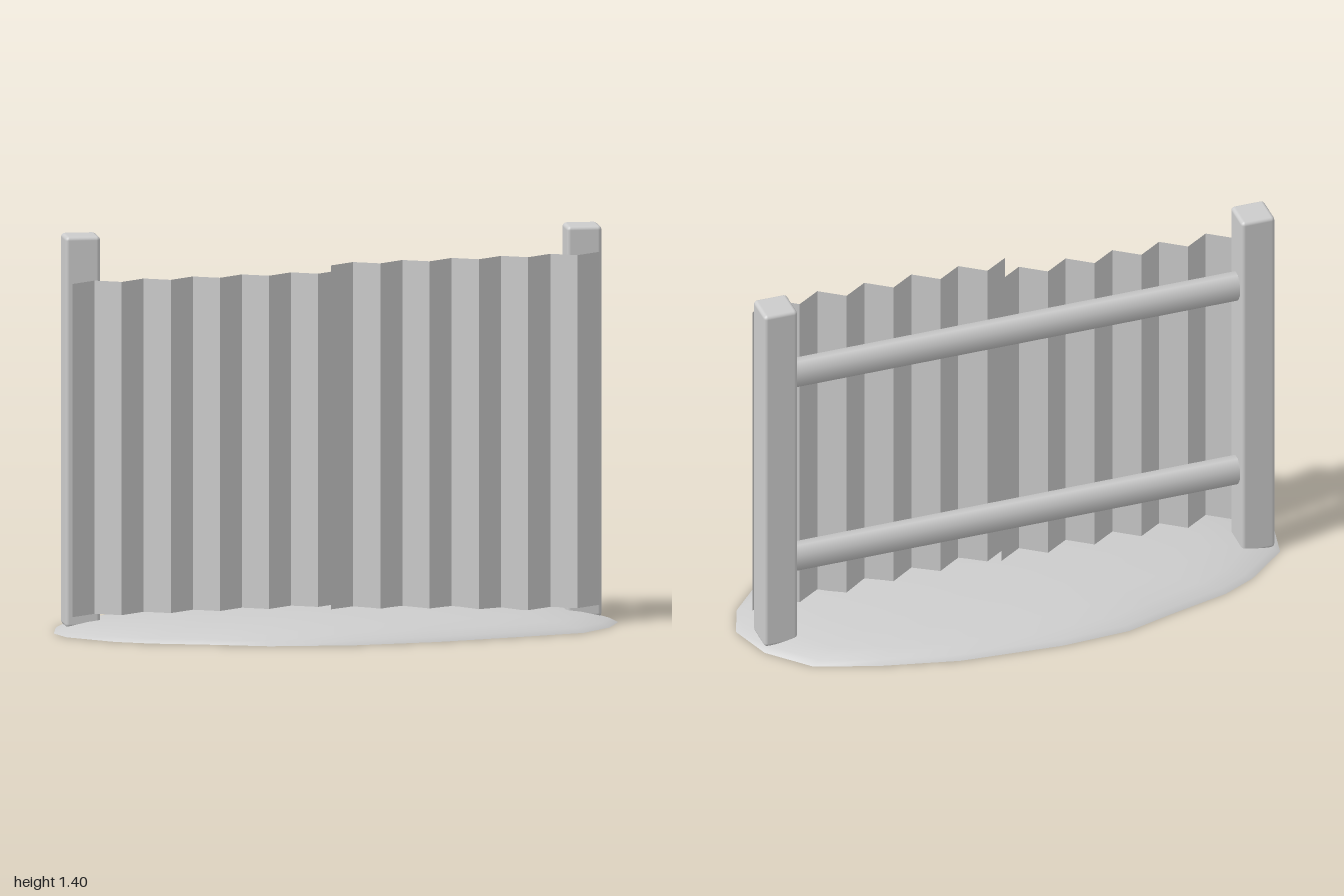
import * as THREE from 'three';
import { RoundedBoxGeometry } from 'three/addons/geometries/RoundedBoxGeometry.js';

const grey = new THREE.MeshStandardMaterial({ color: 0xcccccc, side: THREE.DoubleSide });
grey.name = 'plain grey';

function mesh(name, geometry) {
  const m = new THREE.Mesh(geometry, grey);
  m.name = name;
  return m;
}

function buffer(positions, indices) {
  const g = new THREE.BufferGeometry();
  g.setAttribute('position', new THREE.Float32BufferAttribute(positions, 3));
  g.setIndex(indices);
  return g;
}

// Zigzag sheet: folds swing between a front and a back plane, the top and bottom rise towards +x
function corrugatedSheet(x0, x1, zBack, yBottom, height) {
  const folds = 11, rise = 0.02, depth = 0.06, pos = [], idx = [];
  for (let i = 0; i <= folds; i++) {
    const t = i / folds;
    const x = x0 + (x1 - x0) * t;
    const z = zBack + (i % 2 ? 0 : depth);
    const y = yBottom + rise * t;
    pos.push(x, y, z, x, y + height, z);
    if (i < folds) {
      const a = i * 2;
      idx.push(a, a + 2, a + 3, a, a + 3, a + 1);
    }
  }
  const g = buffer(pos, idx).toNonIndexed(); // crisp folds
  g.computeVertexNormals();
  return g;
}

// Irregular oval outline of the earth, as x, z pairs
const OUTLINE = [
  [-1, 0], [-0.97, 0.1], [-0.82, 0.24], [-0.7, 0.3], [-0.5, 0.36], [-0.3, 0.43], [0, 0.45], [0.3, 0.41],
  [0.6, 0.33], [0.84, 0.26], [0.95, 0.14], [1, 0.01], [0.95, -0.15], [0.82, -0.29], [0.6, -0.365],
  [0.32, -0.43], [-0.05, -0.46], [-0.3, -0.45], [-0.47, -0.4], [-0.7, -0.34], [-0.82, -0.28], [-0.97, -0.15],
];

// Low dome made of shrinking copies of the outline
function moundTop() {
  const rings = [[1, 0], [0.97, 0.016], [0.88, 0.036], [0.72, 0.056], [0.45, 0.071], [0.2, 0.077]];
  const n = OUTLINE.length, pos = [], idx = [];
  for (const [s, y] of rings) for (const [x, z] of OUTLINE) pos.push(x * s, y, z * s);
  const centre = pos.length / 3;
  pos.push(0, 0.078, 0);
  for (let r = 0; r < rings.length; r++) {
    for (let i = 0; i < n; i++) {
      const a = r * n + i, b = r * n + (i + 1) % n;
      if (r === rings.length - 1) idx.push(a, b, centre);
      else idx.push(a, b, b + n, a, b + n, a + n);
    }
  }
  const g = buffer(pos, idx);
  g.computeVertexNormals();
  return g;
}

function moundBase() {
  const n = OUTLINE.length, pos = [0, 0, 0], idx = [];
  OUTLINE.forEach(([x, z], i) => {
    pos.push(x, 0, z);
    idx.push(0, (i + 1) % n + 1, i + 1);
  });
  const g = buffer(pos, idx);
  g.computeVertexNormals();
  return g;
}

export function createModel() {
  const model = new THREE.Group();
  model.name = 'corrugatedFence';

  // Earth under the fence
  const mound = new THREE.Group();
  mound.name = 'mound';
  mound.add(mesh('moundTop', moundTop()), mesh('moundBase', moundBase()));
  model.add(mound);

  // Square posts with softened edges
  for (const [name, x] of [['rightPost', -0.893], ['leftPost', 0.885]]) {
    const post = mesh(name, new RoundedBoxGeometry(0.124, 1.385, 0.124, 2, 0.014));
    post.position.set(x, 0.7075, -0.081);
    model.add(post);
  }

  // Eight-sided rails, taller than deep, running into both posts
  for (const [name, y] of [['lowerRail', 0.335], ['upperRail', 1.105]]) {
    const g = new THREE.CylinderGeometry(1, 1, 1.8, 8, 1, false, Math.PI / 8);
    g.scale(0.057, 1, 0.038);
    g.rotateZ(Math.PI / 2);
    const rail = mesh(name, g);
    rail.position.set(0, y, -0.085);
    model.add(rail);
  }

  // Two overlapping corrugated sheets, the left one in front
  model.add(mesh('rightSheet', corrugatedSheet(-0.942, 0.015, 0, 0.065, 1.18)));
  model.add(mesh('leftSheet', corrugatedSheet(-0.03, 0.932, 0.025, 0.045, 1.25)));
  return model;
}
